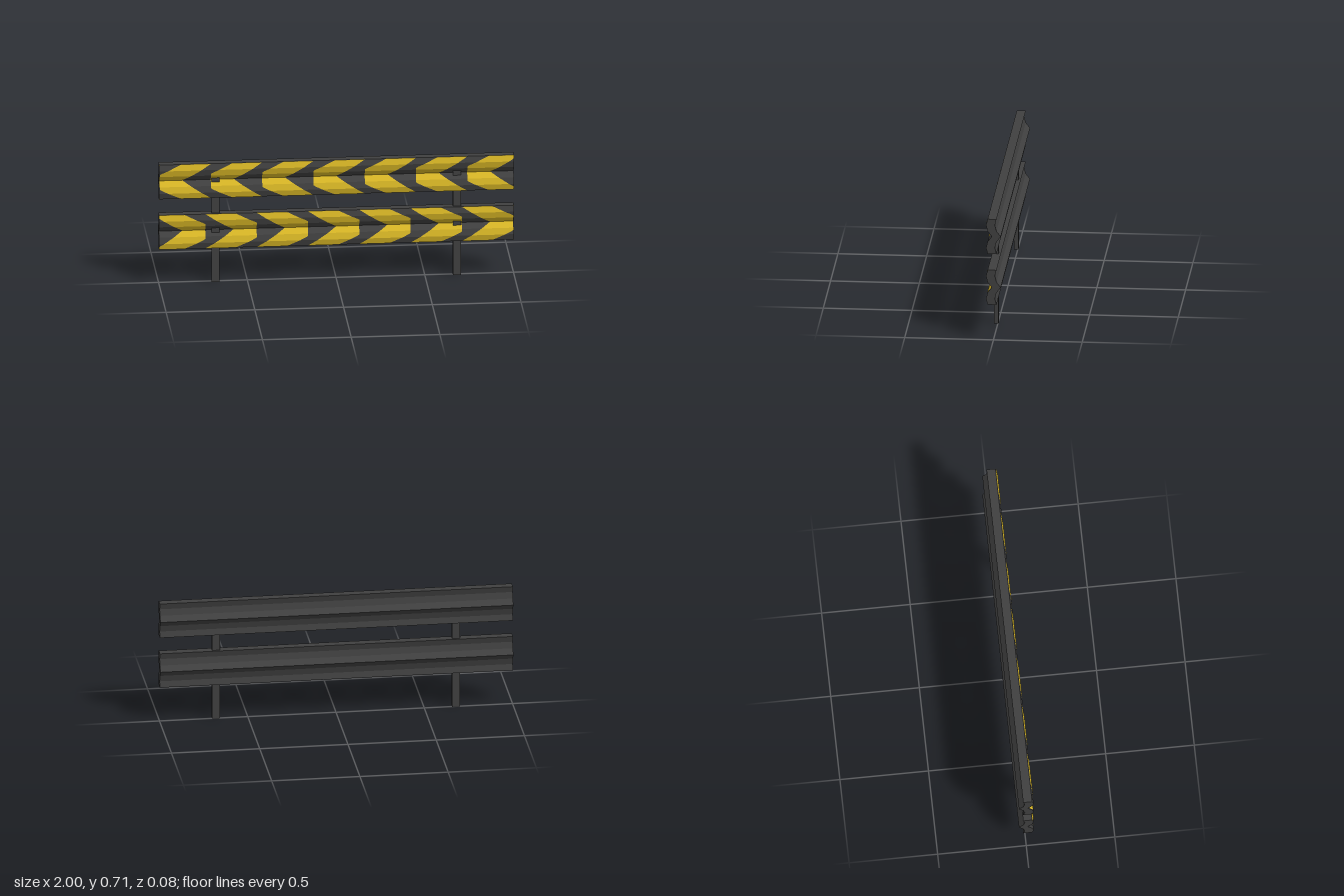
import * as THREE from 'three';

const dark = new THREE.MeshStandardMaterial({ color: 0x404040 });
dark.name = 'dark grey steel';
const yellow = new THREE.MeshStandardMaterial({ color: 0xdab826 });
yellow.name = 'warning yellow';

// Rail cross-section as [z, y], y measured from the rail's centre, top to bottom
const FRONT = [[0.033, 0.102], [0.042, 0.067], [0.033, 0.031], [0.009, 0],
  [0.033, -0.031], [0.042, -0.067], [0.033, -0.102]];
const BACK = [[-0.017, -0.102], [-0.008, -0.067], [-0.017, -0.031], [-0.041, 0],
  [-0.017, 0.031], [-0.008, 0.067], [-0.017, 0.102]];
const PERIOD = 0.289;

function railGeometry() {
  const shape = new THREE.Shape([...FRONT, ...BACK].map(([z, y]) => new THREE.Vector2(z, y)));
  const g = new THREE.ExtrudeGeometry(shape, { depth: 2, bevelEnabled: false });
  g.rotateY(-Math.PI / 2);
  g.translate(1, 0, 0);
  return g;
}

// Edges of one dark chevron at height y: sharp tip on one side, blunt on the other
const tipEdge = (y) => 0.16 * Math.abs(y) / 0.102;
const bluntEdge = (y) => 0.16 + 0.12 * Math.max(0, Math.abs(y) - 0.045) / 0.057;
const clamp = (x) => Math.min(1, Math.max(-1, x));

// Yellow paint between the chevrons, following the folds; dir = -1 mirrors the pattern
function paintGeometry(dir) {
  const pos = [];
  const rows = 6;
  for (let i = 0; i < FRONT.length - 1; i++) {
    const [zA, yA] = FRONT[i], [zB, yB] = FRONT[i + 1];
    for (let r = 0; r < rows; r++) {
      const t0 = r / rows, t1 = (r + 1) / rows;
      const y1 = yA + (yB - yA) * t0, y0 = yA + (yB - yA) * t1;
      const z1 = zA + (zB - zA) * t0 + 0.0015, z0 = zA + (zB - zA) * t1 + 0.0015;
      for (let k = -5; k <= 4; k++) {
        const span = (y) => {
          const a = clamp(dir * (bluntEdge(y) + k * PERIOD));
          const b = clamp(dir * (tipEdge(y) + (k + 1) * PERIOD));
          return [Math.min(a, b), Math.max(a, b)];
        };
        const [l0, r0] = span(y0), [l1, r1] = span(y1);
        if (r0 - l0 < 1e-5 && r1 - l1 < 1e-5) continue;
        pos.push(l0, y0, z0, r0, y0, z0, r1, y1, z1);
        pos.push(l0, y0, z0, r1, y1, z1, l1, y1, z1);
      }
    }
  }
  const g = new THREE.BufferGeometry();
  g.setAttribute('position', new THREE.Float32BufferAttribute(pos, 3));
  g.computeVertexNormals();
  return g;
}

function part(name, geometry, material) {
  const m = new THREE.Mesh(geometry, material);
  m.name = name;
  return m;
}

export function createModel() {
  const model = new THREE.Group();
  model.name = 'guardrail';

  // Two folded rails with opposing chevrons
  for (const [name, y, dir] of [['upperRail', 0.609, 1], ['lowerRail', 0.309, -1]]) {
    const rail = new THREE.Group();
    rail.name = name;
    rail.position.y = y;
    rail.add(part('railBody', railGeometry(), dark));
    rail.add(part('chevronPaint', paintGeometry(dir), yellow));
    model.add(rail);
  }

  // Posts, showing through the valley of each rail
  for (const s of [-1, 1]) {
    const post = part(s > 0 ? 'leftPost' : 'rightPost', new THREE.BoxGeometry(0.045, 0.65, 0.024), dark);
    post.position.set(s * 0.68, 0.325, 0.008);
    model.add(post);
  }
  return model;
}
